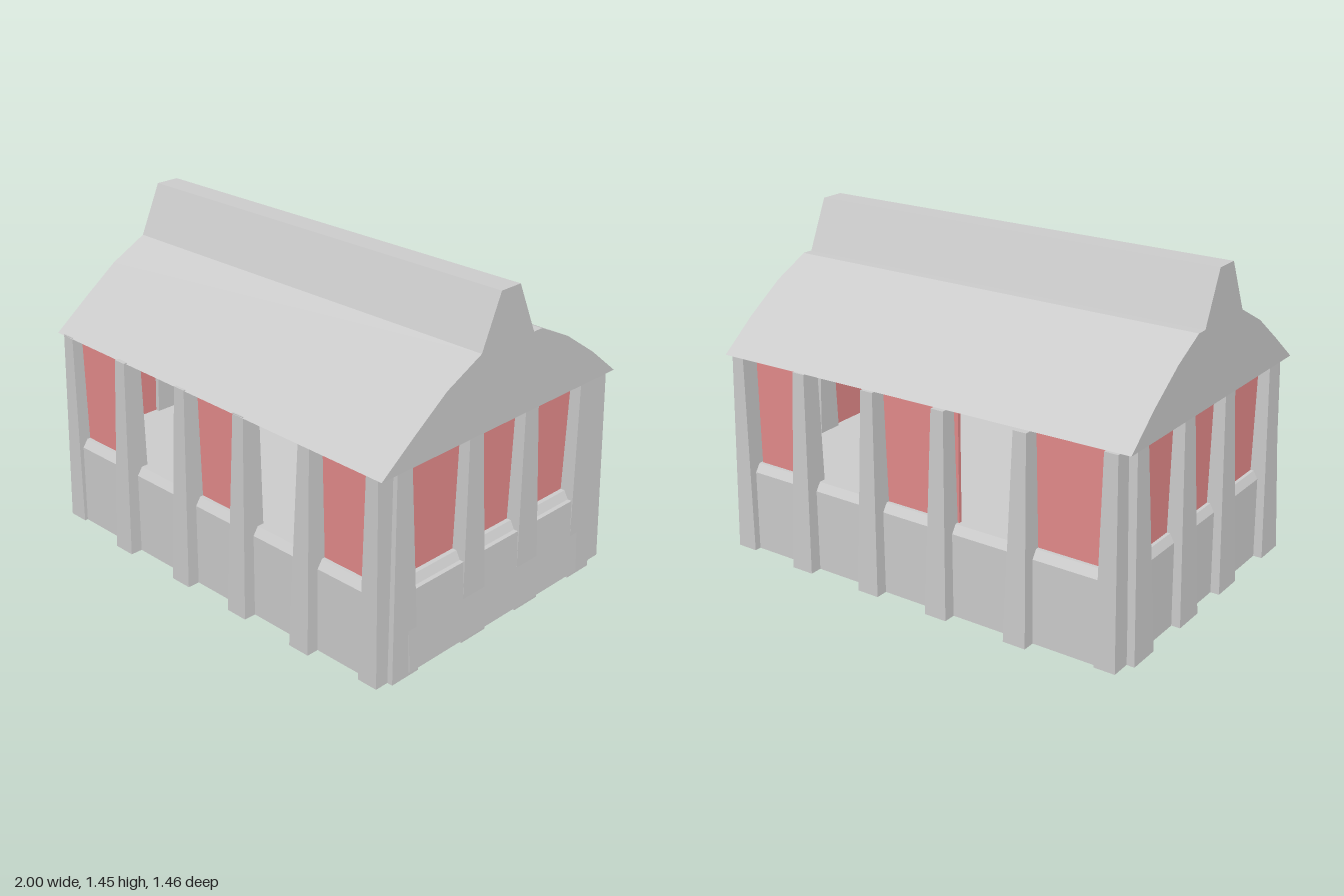
import * as THREE from 'three';

const grey = new THREE.MeshStandardMaterial({ color: 0xcccccc, flatShading: true, side: THREE.DoubleSide });
const red = new THREE.MeshStandardMaterial({ color: 0xe48b8b, flatShading: true, side: THREE.DoubleSide });

// Block whose cross-section blends from one rectangle [x0, x1, z0, z1] to another
function taperedBlock(name, y0, y1, bottom, top, material = grey) {
  const geo = new THREE.BoxGeometry(1, 1, 1);
  const p = geo.attributes.position;
  for (let i = 0; i < p.count; i++) {
    const r = p.getY(i) > 0 ? top : bottom;
    p.setXYZ(i, p.getX(i) > 0 ? r[1] : r[0], p.getY(i) > 0 ? y1 : y0, p.getZ(i) > 0 ? r[3] : r[2]);
  }
  geo.computeVertexNormals();
  const mesh = new THREE.Mesh(geo, material);
  mesh.name = name;
  return mesh;
}

// Order a span so that mirroring keeps the block right side out
const span = (a, b) => [Math.min(a, b), Math.max(a, b)];

export function createModel() {
  const model = new THREE.Group();
  model.name = 'pavilion';

  // Solid lower wall with a bevelled sill
  const foot = [-0.96, 0.965, -0.675, 0.675];
  const shoulder = [-0.95, 0.955, -0.665, 0.665];
  model.add(taperedBlock('lowerWall', 0.01, 0.37, foot, shoulder));
  model.add(taperedBlock('sill', 0.37, 0.405, shoulder, [-0.93, 0.935, -0.64, 0.64]));
  // Plate standing proud of the right end wall
  model.add(taperedBlock('endPlate', 0.025, 0.37, [0.9, 0.995, -0.51, 0.55], [0.9, 0.975, -0.51, 0.55]));

  for (const s of [1, -1]) {
    // Pillars along the long sides
    for (const x of [-0.53, -0.145, 0.207, 0.57]) {
      model.add(taperedBlock('sidePillar', 0.01, 0.9,
        [x - 0.052, x + 0.052, ...span(s * 0.61, s * 0.73)],
        [x - 0.03, x + 0.03, ...span(s * 0.61, s * 0.695)]));
    }
    // Corner posts
    for (const e of [1, -1]) {
      model.add(taperedBlock('cornerPost', 0.01, 0.9,
        [...span(e * 0.87, e * 0.965), ...span(s * 0.6, s * (e > 0 ? 0.705 : 0.69))],
        [...span(e * 0.885, e * 0.945), ...span(s * 0.6, s * (e > 0 ? 0.69 : 0.675))]));
    }
    // Long side panels, with two open bays between them
    for (const [x0, x1] of [[-0.91, -0.53], [-0.195, 0.207], [0.57, 0.87]]) {
      const r = [x0, x1, ...span(s * 0.61, s * 0.625)];
      model.add(taperedBlock('sidePanel', 0, 0.885, r, r, red));
    }
  }

  for (const e of [1, -1]) {
    // Pillars on the end walls
    for (const z of [-0.53, -0.17, 0.167, 0.57]) {
      model.add(taperedBlock('endPillar', 0.01, 0.9,
        [...span(e * 0.88, e * (e > 0 ? 0.99 : 1)), z - 0.073, z + 0.073],
        [...span(e * 0.88, e * 0.965), z - 0.04, z + 0.04]));
    }
    // End panel
    const r = [...span(e * 0.9, e * 0.915), -0.62, 0.62];
    model.add(taperedBlock('endPanel', 0, 0.895, r, r, red));
  }

  // Roof with curved slopes and a raised ridge, narrowing slightly to one end
  const profile = [
    [0.71, 0.895], [0.54, 1.02], [0.37, 1.14], [0.18, 1.23], [0.08, 1.45], [-0.03, 1.45],
    [-0.13, 1.23], [-0.18, 1.23], [-0.35, 1.15], [-0.53, 1.03], [-0.695, 0.9],
  ];
  const shape = new THREE.Shape(profile.map(([z, y]) => new THREE.Vector2(-z, y)));
  const roofGeo = new THREE.ExtrudeGeometry(shape, { depth: 1.97, bevelEnabled: false });
  roofGeo.rotateY(Math.PI / 2).translate(-0.99, 0, 0);
  const p = roofGeo.attributes.position;
  for (let i = 0; i < p.count; i++) {
    if (p.getX(i) < 0 && p.getY(i) < 1.2) p.setZ(i, p.getZ(i) * 0.95);
  }
  roofGeo.computeVertexNormals();
  const roof = new THREE.Mesh(roofGeo, grey);
  roof.name = 'roof';
  model.add(roof);

  return model;
}
